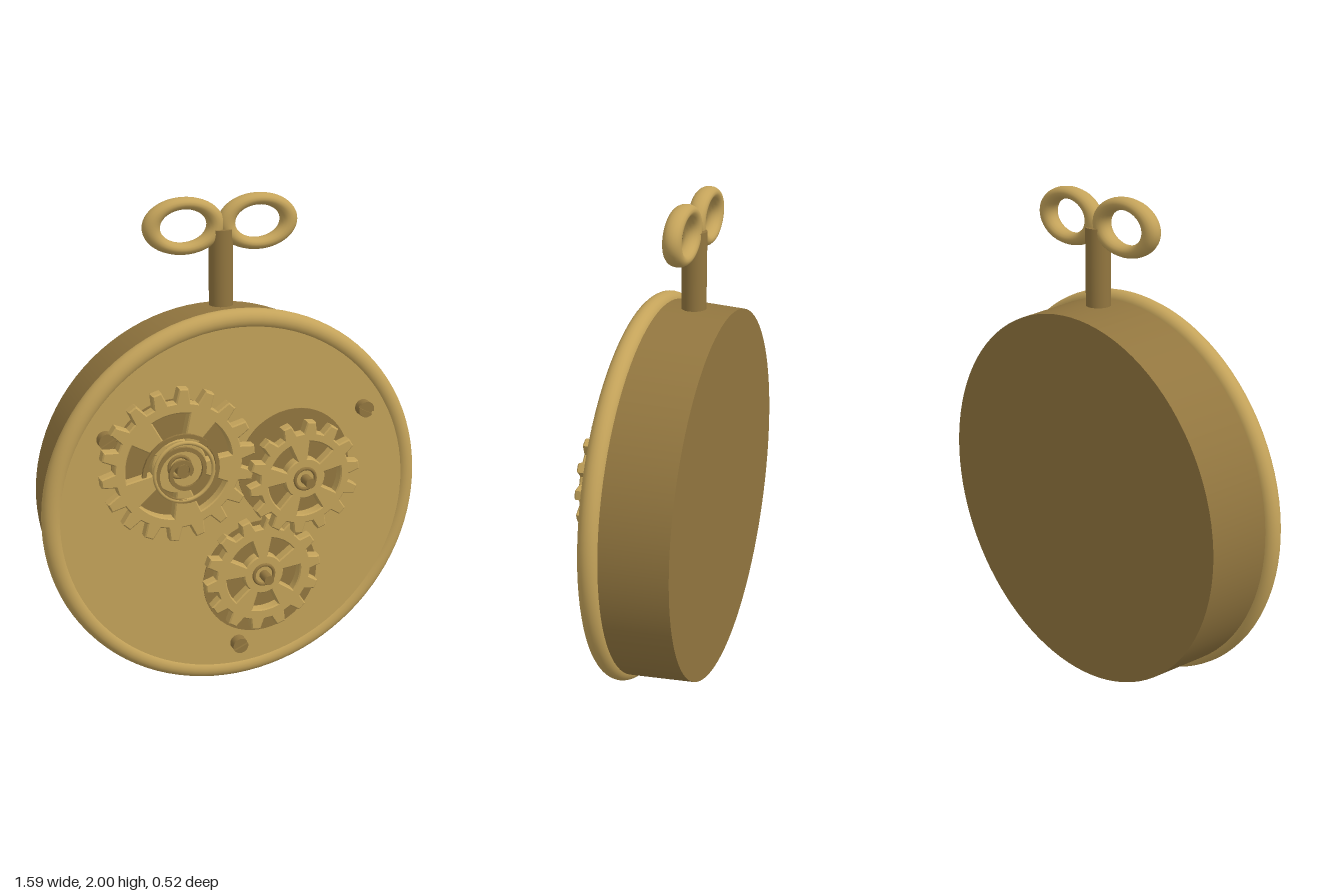
import * as THREE from 'three';

const brass = new THREE.MeshStandardMaterial({ color: 0xc4a35a });
brass.name = 'brass';
const bronze = new THREE.MeshStandardMaterial({ color: 0x92763f });
bronze.name = 'dark bronze';

const CY = 0.797; // height of the case centre

function add(parent, name, geometry, material, x = 0, y = 0, z = 0) {
  const mesh = new THREE.Mesh(geometry, material);
  mesh.name = name;
  mesh.position.set(x, y, z);
  parent.add(mesh);
  return mesh;
}

// cylinder along z, from z0 to z1
function rod(parent, name, material, x, y, z0, z1, r0, r1 = r0, sides = 24) {
  const g = new THREE.CylinderGeometry(r1, r0, z1 - z0, sides).rotateX(Math.PI / 2);
  return add(parent, name, g, material, x, y, (z0 + z1) / 2);
}

// closed arc-shaped slot between two radii
function slot(r0, r1, a0, a1) {
  const p = new THREE.Path();
  p.absarc(0, 0, r1, a0, a1, false);
  p.absarc(0, 0, r0, a1, a0, true);
  p.closePath();
  return p;
}

function gearGeometry(teeth, root, tip, slotIn, slotOut, turn, slotTurn, depth) {
  const pts = [];
  const step = (Math.PI * 2) / teeth;
  for (let i = 0; i < teeth; i++) {
    for (const [f, r] of [[-0.32, root], [-0.17, tip], [0.17, tip], [0.32, root]]) {
      const a = turn + (i + f) * step;
      pts.push(new THREE.Vector2(Math.cos(a) * r, Math.sin(a) * r));
    }
  }
  const shape = new THREE.Shape(pts);
  for (let i = 0; i < 5; i++) {
    const a = slotTurn + (i * Math.PI * 2) / 5;
    shape.holes.push(slot(slotIn, slotOut, a - 0.36, a + 0.36));
  }
  const bevel = 0.005;
  return new THREE.ExtrudeGeometry(shape, {
    depth: depth - 2 * bevel, bevelEnabled: true, bevelThickness: bevel,
    bevelSize: bevel, bevelOffset: -bevel, bevelSegments: 1, curveSegments: 8,
  }).translate(0, 0, bevel);
}

// flat spiral ribbon
function spiralGeometry(rOuter, rInner, turns, width, depth) {
  const outer = [], inner = [], n = 72;
  for (let i = 0; i <= n; i++) {
    const a = Math.PI - (i / n) * turns * Math.PI * 2;
    const r = rOuter + (rInner - rOuter) * (i / n);
    outer.push(new THREE.Vector2(Math.cos(a) * r, Math.sin(a) * r));
    inner.push(new THREE.Vector2(Math.cos(a) * (r - width), Math.sin(a) * (r - width)));
  }
  return new THREE.ExtrudeGeometry(new THREE.Shape([...outer, ...inner.reverse()]),
    { depth, bevelEnabled: false });
}

export function createModel() {
  const model = new THREE.Group();
  model.name = 'clockwork';

  // case, bezel and front plate
  rod(model, 'case', bronze, 0, CY, -0.26, 0.04, 0.75, 0.768, 96);
  add(model, 'bezel', new THREE.TorusGeometry(0.755, 0.04, 20, 96), brass, 0, CY, 0.04);
  rod(model, 'frontPlate', brass, 0, CY, 0.03, 0.07, 0.738, 0.738, 20);

  // dark round wells behind the gears
  for (const [x, y, r] of [[-0.27, 1.02, 0.25], [0.24, 0.93, 0.24], [0.1, 0.455, 0.25]]) {
    rod(model, 'gearWell', bronze, x, y, 0.068, 0.074, r, r, 48);
  }

  // gears: x, y, z, teeth, root, tip, slot radii, rotations, shaft end
  const gears = [
    ['largeGear', -0.27, 1.02, 0.105, 18, 0.258, 0.312, 0.11, 0.215, 0.1, 1.72, 0.205],
    ['rightGear', 0.235, 0.918, 0.155, 14, 0.192, 0.236, 0.085, 0.155, 0.12, 1.1, 0.258],
    ['lowerGear', 0.083, 0.5, 0.105, 14, 0.205, 0.25, 0.085, 0.16, 0.1, 1.0, 0.212],
  ];
  for (const [name, x, y, z, n, root, tip, s0, s1, turn, sTurn, end] of gears) {
    const gear = new THREE.Group();
    gear.name = name;
    gear.position.set(x, y, 0);
    model.add(gear);
    add(gear, 'toothedWheel', gearGeometry(n, root, tip, s0, s1, turn, sTurn, 0.047), brass, 0, 0, z);
    add(gear, 'hubRing', new THREE.TorusGeometry(0.043, 0.007, 8, 28), bronze, 0, 0, z + 0.047);
    rod(gear, 'shaft', bronze, 0, 0, 0.06, end, name === 'largeGear' ? 0.027 : 0.02);
  }

  // hairspring on the large gear
  add(model, 'hairspring', spiralGeometry(0.168, 0.03, 2.6, 0.016, 0.012), bronze, -0.27, 1.02, 0.203);
  add(model, 'springRing', new THREE.TorusGeometry(0.118, 0.008, 8, 48), brass, -0.27, 1.02, 0.209);

  // slotted screws
  for (const [x, y, a] of [[-0.54, 1.14, 0.5], [0.54, 1.14, -0.5], [0, 0.163, 0.4]]) {
    const screw = new THREE.Group();
    screw.name = 'screw';
    screw.position.set(x, y, 0);
    screw.rotation.z = a;
    model.add(screw);
    rod(screw, 'screwBase', bronze, 0, 0, 0.06, 0.1, 0.033);
    for (const s of [0, Math.PI]) {
      const half = new THREE.Shape();
      half.absarc(0, 0, 0.033, 0.18, Math.PI - 0.18, false);
      half.closePath();
      const g = new THREE.ExtrudeGeometry(half, { depth: 0.01, bevelEnabled: false });
      add(screw, 'screwHeadHalf', g, bronze, 0, 0, 0.1).rotation.z = s;
    }
  }

  // winding key
  const key = new THREE.Group();
  key.name = 'windingKey';
  key.position.z = -0.122;
  model.add(key);
  add(key, 'keyShaft', new THREE.CylinderGeometry(0.048, 0.048, 0.3, 32), bronze, 0, 1.72, 0);
  for (const s of [-1, 1]) {
    const loop = add(key, 'keyLoop', new THREE.TorusGeometry(0.13, 0.035, 16, 48), brass, s * 0.152, 1.89, 0);
    loop.scale.y = 0.67;
  }
  return model;
}
